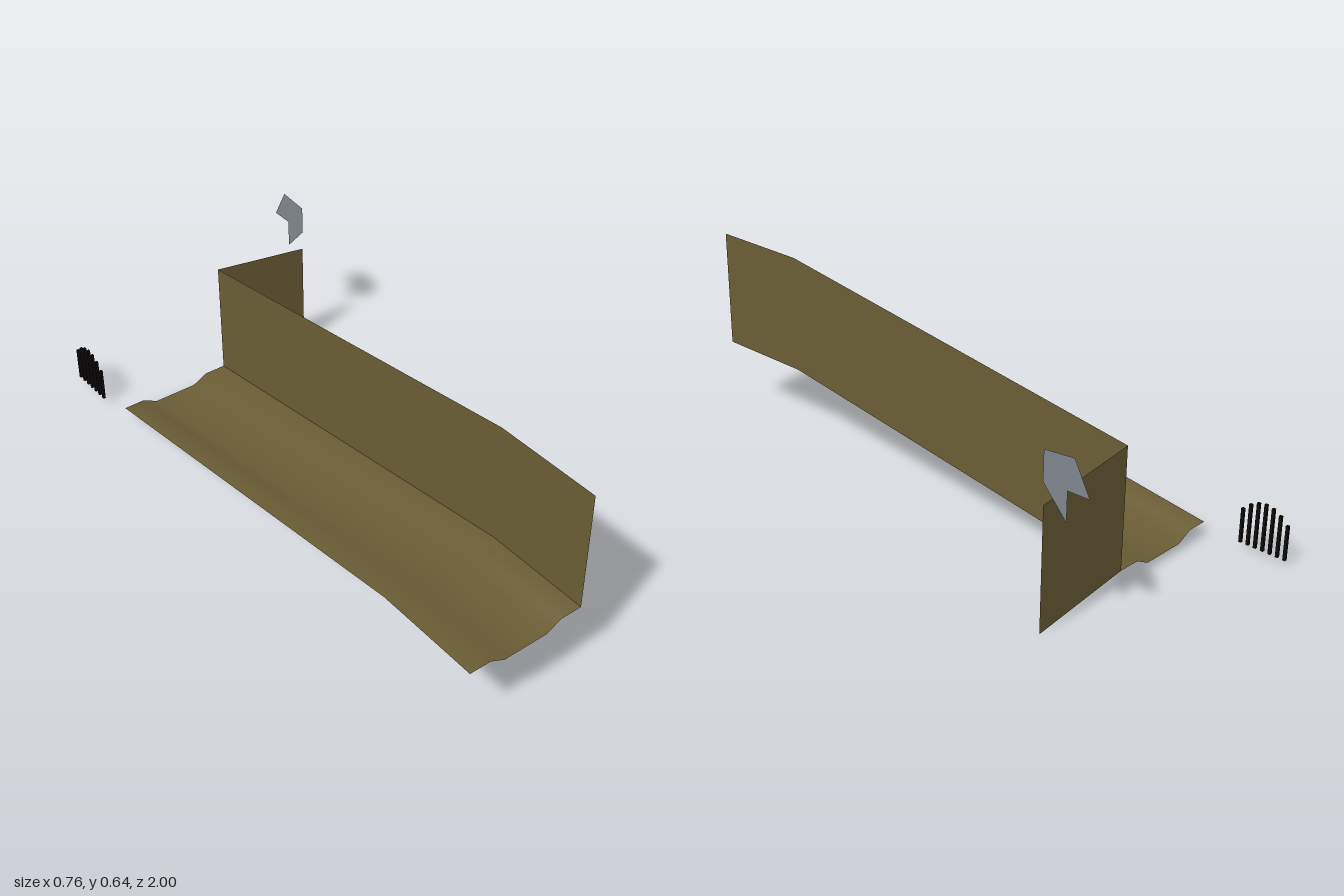
import * as THREE from 'three';

const makeMaterial = (name, color) => {
  const m = new THREE.MeshStandardMaterial({ color, side: THREE.DoubleSide });
  m.name = name;
  return m;
};

// Sheet joining cross-sections of equal length, with smooth normals
function loft(sections) {
  const n = sections[0].length;
  const index = [];
  for (let i = 0; i < sections.length - 1; i++) {
    for (let j = 0; j < n - 1; j++) {
      const a = i * n + j, b = a + 1, c = a + n, d = c + 1;
      index.push(a, b, c, b, d, c);
    }
  }
  const g = new THREE.BufferGeometry();
  g.setAttribute('position', new THREE.Float32BufferAttribute(sections.flat(2), 3));
  g.setIndex(index);
  g.computeVertexNormals();
  return g;
}

export function createModel() {
  const group = new THREE.Group();
  const olive = makeMaterial('olive', 0x6b5e36);
  const grey = makeMaterial('grey', 0x80868e);
  const black = makeMaterial('black', 0x120c0a);

  const add = (name, geometry, material) => {
    const mesh = new THREE.Mesh(geometry, material);
    mesh.name = name;
    group.add(mesh);
    return mesh;
  };

  // Stations along the length: z and height of the floor edge
  const backZ = -0.722, wallX = 0.033, endX = 0.378, wallHeight = 0.392;
  const stations = [[1, 0.247], [0.65, 0.247], [backZ, 0.052]];

  // Channelled floor, level at the front and falling to the back
  const profile = [[-0.361, 0], [-0.29, 0], [-0.24, -0.026], [-0.09, -0.026], [-0.04, 0], [wallX, 0]];
  add('floor', loft(stations.map(([z, y]) => profile.map(([x, dy]) => [x, y + dy, z]))), olive);

  // Upright wall along the floor's left edge
  add('sideWall', loft(stations.map(([z, y]) => [[wallX, y, z], [wallX, y + wallHeight, z]])), olive);

  // Sloping panel turning outwards at the back of the wall
  add('endPanel', loft([[wallX, 0.052], [endX, 0.003]].map(
    ([x, y]) => [[x, y, backZ], [x, y + wallHeight, backZ]])), olive);

  // Flat angular plate behind the panel, drawn as (-z, y) and turned to face +x
  const plate = new THREE.Shape([
    [0.718, 0.555], [0.82, 0.565], [0.873, 0.467], [0.8, 0.465], [0.8, 0.373], [0.718, 0.462],
  ].map(([z, y]) => new THREE.Vector2(z, y)));
  const plateGeometry = new THREE.ShapeGeometry(plate).rotateY(Math.PI / 2);
  add('anglePlate', plateGeometry, grey).position.x = endX - 0.001;

  // Row of slim open-ended upright bars with an arched top line
  const bars = new THREE.Group();
  bars.name = 'barRow';
  const width = 0.009, bottom = 0.028;
  for (let i = -3; i <= 3; i++) {
    const height = 0.153 - 0.0045 * i * i;
    const g = new THREE.CylinderGeometry(width / Math.SQRT2, width / Math.SQRT2, height, 4, 1, true)
      .rotateY(Math.PI / 4).toNonIndexed();
    g.computeVertexNormals();
    const bar = new THREE.Mesh(g, black);
    bar.name = 'bar';
    bar.position.set(-0.3735, bottom + height / 2, -0.92 + i * 0.0252);
    bars.add(bar);
  }
  group.add(bars);
  return group;
}
